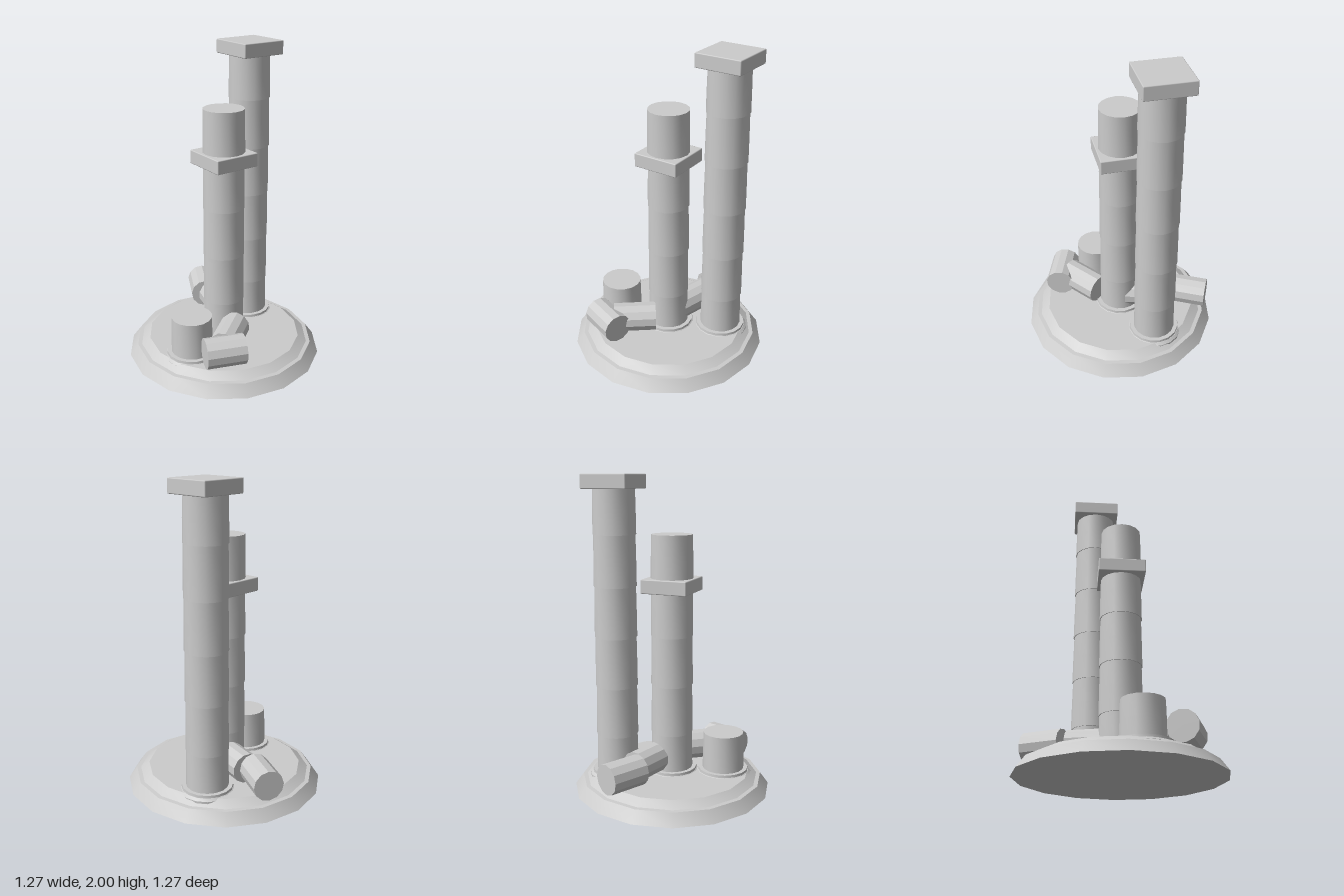
import * as THREE from 'three';
import { toCreasedNormals } from 'three/addons/utils/BufferGeometryUtils.js';
import { RoundedBoxGeometry } from 'three/addons/geometries/RoundedBoxGeometry.js';

export function createModel() {
  const model = new THREE.Group();
  model.name = 'ruinedColumns';
  const stone = new THREE.MeshStandardMaterial({ color: 0xcccccc });
  stone.name = 'greyStone';

  const add = (parent, name, geometry, x = 0, y = 0, z = 0) => {
    const mesh = new THREE.Mesh(geometry, stone);
    mesh.name = name;
    mesh.position.set(x, y, z);
    parent.add(mesh);
    return mesh;
  };
  const lathe = (points, sides) => toCreasedNormals(
    new THREE.LatheGeometry(points.map(([r, y]) => new THREE.Vector2(r, y)), sides), 0.5);

  // Stepped sixteen-sided base
  add(model, 'base', lathe([
    [0, 0], [0.635, 0], [0.582, 0.072], [0.556, 0.074], [0.5, 0.112], [0, 0.112],
  ], 16));

  // Standing column: plinth rings and stacked drums, each tapering slightly upward
  const drumHeight = 0.318;
  function column(name, x, z, top) {
    const group = new THREE.Group();
    group.name = name;
    group.position.set(x, 0, z);
    model.add(group);
    add(group, 'lowerPlinth', lathe([
      [0, 0.085], [0.18, 0.085], [0.18, 0.1], [0.165, 0.114], [0, 0.114],
    ], 16));
    add(group, 'upperPlinth', lathe([
      [0, 0.11], [0.162, 0.11], [0.16, 0.13], [0, 0.13],
    ], 16));
    // Seams are level across all columns
    for (let y = 0.05; y < top - 0.01; y += drumHeight) {
      const low = Math.max(y, 0.11);
      const high = Math.min(y + drumHeight, top);
      const mid = (low + high) / 2;
      add(group, 'drum', lathe([
        [0, low], [0.134, low], [0.132, mid], [0.129, high], [0, high],
      ], 16));
    }
    return group;
  }
  const slab = (parent, name, y) =>
    add(parent, name, new RoundedBoxGeometry(0.3, 0.088, 0.3, 1, 0.006), 0, y, 0);

  slab(column('middleColumn', 0, 0, 1.638), 'collar', 1.324);
  slab(column('tallColumn', 0.315, -0.16, 1.92), 'capital', 1.956);
  column('brokenStump', -0.32, 0.1, 0.37);

  // Fallen drums lying on the base, given by the centres of their two ends
  const fallen = [
    [0.195, -0.56, 0.08, -0.337],
    [0.12, -0.312, 0.045, -0.03],
    [-0.365, 0.31, -0.13, 0.397],
    [-0.01, 0.143, -0.226, 0.312],
  ];
  for (const [x1, z1, x2, z2] of fallen) {
    const axis = new THREE.Vector3(x2 - x1, 0, z2 - z1);
    const shape = new THREE.CylinderGeometry(0.096, 0.096, axis.length(), 12).toNonIndexed();
    shape.computeVertexNormals();
    const drum = add(model, 'fallenDrum', shape, (x1 + x2) / 2, 0.214, (z1 + z2) / 2);
    drum.quaternion.setFromUnitVectors(new THREE.Vector3(0, 1, 0), axis.normalize());
  }
  return model;
}
